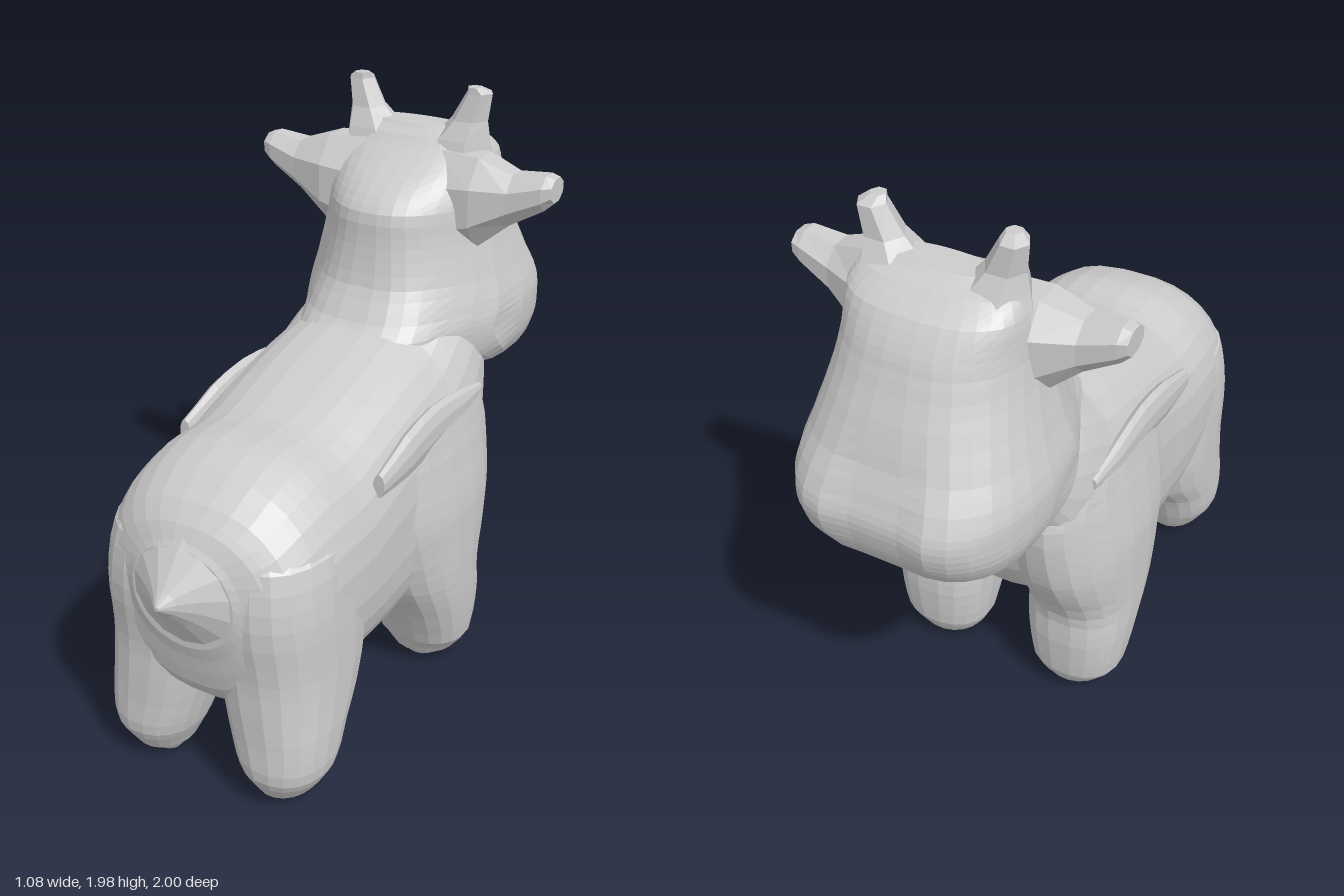
import * as THREE from 'three';

const material = new THREE.MeshStandardMaterial({ color: 0xcccccc, flatShading: true });

// Axis order (u, v, t) chosen so that u x v = t, which keeps faces outward.
const place = {
  x: (u, v, t) => [t, u, v],
  y: (u, v, t) => [v, t, u],
  z: (u, v, t) => [u, v, t],
};

const spline = (a, b, c, d, t) =>
  b + 0.5 * t * (c - a + t * (2 * a - 5 * b + 4 * c - d + t * (3 * (b - c) + d - a)));

// Closed loft. Rows: [t, uMin, uMax, vMin, vMax, exponent], t ascending.
function loft(axis, rows, sides = 24, steps = 3, deform = null) {
  const rings = [];
  for (let i = 0; i < rows.length - 1; i++) {
    for (let s = 0; s < steps; s++) {
      const k = s / steps;
      const r0 = rows[Math.max(i - 1, 0)], r3 = rows[Math.min(i + 2, rows.length - 1)];
      rings.push(rows[i].map((b, n) => (n === 0
        ? b + (rows[i + 1][0] - b) * k
        : spline(r0[n], b, rows[i + 1][n], r3[n], k))));
    }
  }
  rings.push(rows[rows.length - 1]);
  const positions = [], index = [];
  const add = (u, v, t) => {
    const p = place[axis](u, v, t);
    if (deform) deform(p);
    positions.push(...p);
  };
  for (const [t, u0, u1, v0, v1, n] of rings) {
    for (let j = 0; j < sides; j++) {
      const a = ((j + 0.5) / sides) * Math.PI * 2;
      const c = Math.cos(a), s = Math.sin(a);
      add((u0 + u1) / 2 + ((u1 - u0) / 2) * Math.sign(c) * Math.abs(c) ** (2 / n),
        (v0 + v1) / 2 + ((v1 - v0) / 2) * Math.sign(s) * Math.abs(s) ** (2 / n), t);
    }
  }
  for (let i = 0; i < rings.length - 1; i++) {
    for (let j = 0; j < sides; j++) {
      const a = i * sides + j, b = i * sides + ((j + 1) % sides);
      index.push(a, b, b + sides, a, b + sides, a + sides);
    }
  }
  // End caps
  const first = rings[0], last = rings[rings.length - 1], total = rings.length * sides;
  for (const r of [first, last]) add((r[1] + r[2]) / 2, (r[3] + r[4]) / 2, r[0]);
  for (let j = 0; j < sides; j++) {
    const k = (j + 1) % sides, top = total - sides;
    index.push(total, k, j, total + 1, top + j, top + k);
  }
  const g = new THREE.BufferGeometry();
  g.setAttribute('position', new THREE.Float32BufferAttribute(positions, 3));
  g.setIndex(index);
  g.computeVertexNormals();
  return g;
}

function mirrored(geometry) {
  const g = geometry.clone().scale(-1, 1, 1);
  const ix = g.index.array;
  for (let i = 0; i < ix.length; i += 3) [ix[i], ix[i + 1]] = [ix[i + 1], ix[i]];
  g.computeVertexNormals();
  return g;
}

export function createModel() {
  const model = new THREE.Group();
  model.name = 'calf';
  const part = (name, geometry) => {
    const mesh = new THREE.Mesh(geometry, material);
    mesh.name = name;
    model.add(mesh);
  };
  const pair = (name, geometry) => {
    part(`${name}Left`, geometry);
    part(`${name}Right`, mirrored(geometry));
  };

  // Trunk, from throat to rump, rising into the neck
  part('body', loft('z', [
    [-0.60, -0.18, 0.18, 1.00, 1.14, 2],
    [-0.53, -0.28, 0.28, 0.94, 1.22, 2],
    [-0.47, -0.32, 0.32, 0.77, 1.28, 2.2],
    [-0.42, -0.345, 0.345, 0.60, 1.33, 2.3],
    [-0.34, -0.37, 0.37, 0.46, 1.36, 2.3],
    [-0.25, -0.385, 0.385, 0.37, 1.33, 2.3],
    [-0.16, -0.39, 0.39, 0.32, 1.275, 2.4],
    [0.00, -0.39, 0.39, 0.285, 1.235, 2.6],
    [0.20, -0.385, 0.385, 0.27, 1.18, 2.7],
    [0.40, -0.39, 0.39, 0.27, 1.13, 2.5],
    [0.56, -0.39, 0.39, 0.285, 1.13, 2.4],
    [0.70, -0.375, 0.375, 0.31, 1.09, 2.4],
    [0.79, -0.34, 0.34, 0.35, 1.03, 2.4],
    [0.84, -0.28, 0.28, 0.42, 0.98, 2.3],
    [0.88, -0.18, 0.18, 0.58, 0.92, 2.1],
  ], 32));

  // Head and neck; the face is squarer than the nape and the muzzle is notched
  part('head', loft('y', [
    [0.98, -0.86, -0.60, -0.20, 0.20, 2.2],
    [1.00, -0.91, -0.50, -0.28, 0.28, 2.4],
    [1.05, -0.965, -0.32, -0.34, 0.34, 2.6],
    [1.12, -1.005, -0.14, -0.375, 0.375, 2.8],
    [1.20, -1.025, -0.04, -0.385, 0.385, 2.8],
    [1.27, -1.00, -0.10, -0.38, 0.38, 2.8],
    [1.37, -0.94, -0.165, -0.35, 0.35, 2.7],
    [1.50, -0.88, -0.195, -0.315, 0.315, 2.5],
    [1.61, -0.83, -0.21, -0.295, 0.295, 2.4],
    [1.68, -0.80, -0.28, -0.285, 0.285, 2.3],
    [1.76, -0.745, -0.40, -0.27, 0.27, 2.4],
    [1.81, -0.67, -0.46, -0.24, 0.24, 2.4],
    [1.84, -0.61, -0.50, -0.16, 0.16, 2.2],
  ], 32, 3, (p) => {
    const front = THREE.MathUtils.smoothstep(-p[2], 0.5, 0.9);
    const back = THREE.MathUtils.smoothstep(p[2], -0.55, -0.2);
    p[0] *= 1 + 0.1 * front * (1 - Math.abs(p[0]) / 0.39) - 0.25 * back;
    p[2] += 0.055 * front * Math.exp(-((p[0] / 0.13) ** 2) - ((p[1] - 1.2) / 0.17) ** 2);
  }));

  // Front legs, widening into the chest and shoulders
  pair('frontLeg', loft('y', [
    [0.02, -0.25, -0.13, 0.20, 0.32, 2],
    [0.05, -0.31, -0.10, 0.14, 0.37, 2],
    [0.12, -0.345, -0.06, 0.10, 0.42, 2.3],
    [0.28, -0.36, 0.02, 0.08, 0.44, 2.5],
    [0.42, -0.365, 0.11, 0.07, 0.445, 2.4],
    [0.60, -0.45, 0.20, 0.06, 0.445, 2.3],
    [0.72, -0.485, 0.25, 0.05, 0.44, 2.2],
    [0.90, -0.50, 0.27, 0.08, 0.41, 2.2],
    [1.00, -0.43, 0.20, 0.18, 0.39, 2.2],
    [1.05, -0.28, 0.06, 0.24, 0.37, 2],
  ], 20));

  // Hind legs, running up into the haunches
  pair('hindLeg', loft('y', [
    [0.005, 0.66, 0.74, 0.18, 0.26, 2],
    [0.05, 0.575, 0.80, 0.14, 0.33, 2],
    [0.14, 0.53, 0.85, 0.095, 0.385, 2.2],
    [0.26, 0.48, 0.85, 0.06, 0.395, 2.4],
    [0.36, 0.40, 0.85, 0.03, 0.395, 2.4],
    [0.50, 0.34, 0.85, 0.00, 0.395, 2.4],
    [0.70, 0.34, 0.87, -0.02, 0.39, 2.4],
    [0.88, 0.36, 0.845, 0.00, 0.365, 2.2],
    [0.98, 0.42, 0.77, 0.03, 0.28, 2],
  ], 20));

  // Thin lip along the top of each shoulder
  pair('shoulderFlap', loft('z', [
    [-0.34, 0.345, 0.375, 1.00, 1.04, 2],
    [-0.18, 0.335, 0.39, 0.96, 1.075, 2],
    [0.00, 0.33, 0.39, 0.94, 1.095, 2],
    [0.18, 0.33, 0.39, 0.92, 1.07, 2],
    [0.35, 0.34, 0.38, 0.93, 1.01, 2],
  ], 10, 2));

  // Ears, blunt and flaring smoothly out of the head
  pair('ear', loft('x', [
    [0.10, 1.38, 1.80, -0.66, -0.36, 2],
    [0.28, 1.46, 1.79, -0.61, -0.355, 2],
    [0.40, 1.565, 1.745, -0.56, -0.385, 2],
    [0.51, 1.63, 1.755, -0.54, -0.405, 2],
    [0.54, 1.66, 1.745, -0.53, -0.42, 2],
  ], 8, 1));

  // Short horns leaning outward from broad bases
  pair('horn', loft('y', [
    [1.74, -0.70, -0.42, 0.01, 0.28, 2],
    [1.81, -0.65, -0.45, 0.07, 0.265, 2],
    [1.87, -0.61, -0.485, 0.125, 0.255, 2],
    [1.96, -0.60, -0.505, 0.175, 0.265, 2],
    [1.98, -0.56, -0.51, 0.185, 0.235, 2],
  ], 6, 1));

  // Pointed tail stub growing out of the rump
  part('tail', loft('z', [
    [0.80, -0.28, 0.28, 0.46, 1.01, 2],
    [0.87, -0.19, 0.19, 0.58, 0.935, 2],
    [0.93, -0.095, 0.095, 0.69, 0.865, 2],
    [1.00, -0.008, 0.008, 0.775, 0.79, 2],
  ], 14, 2));

  return model;
}
